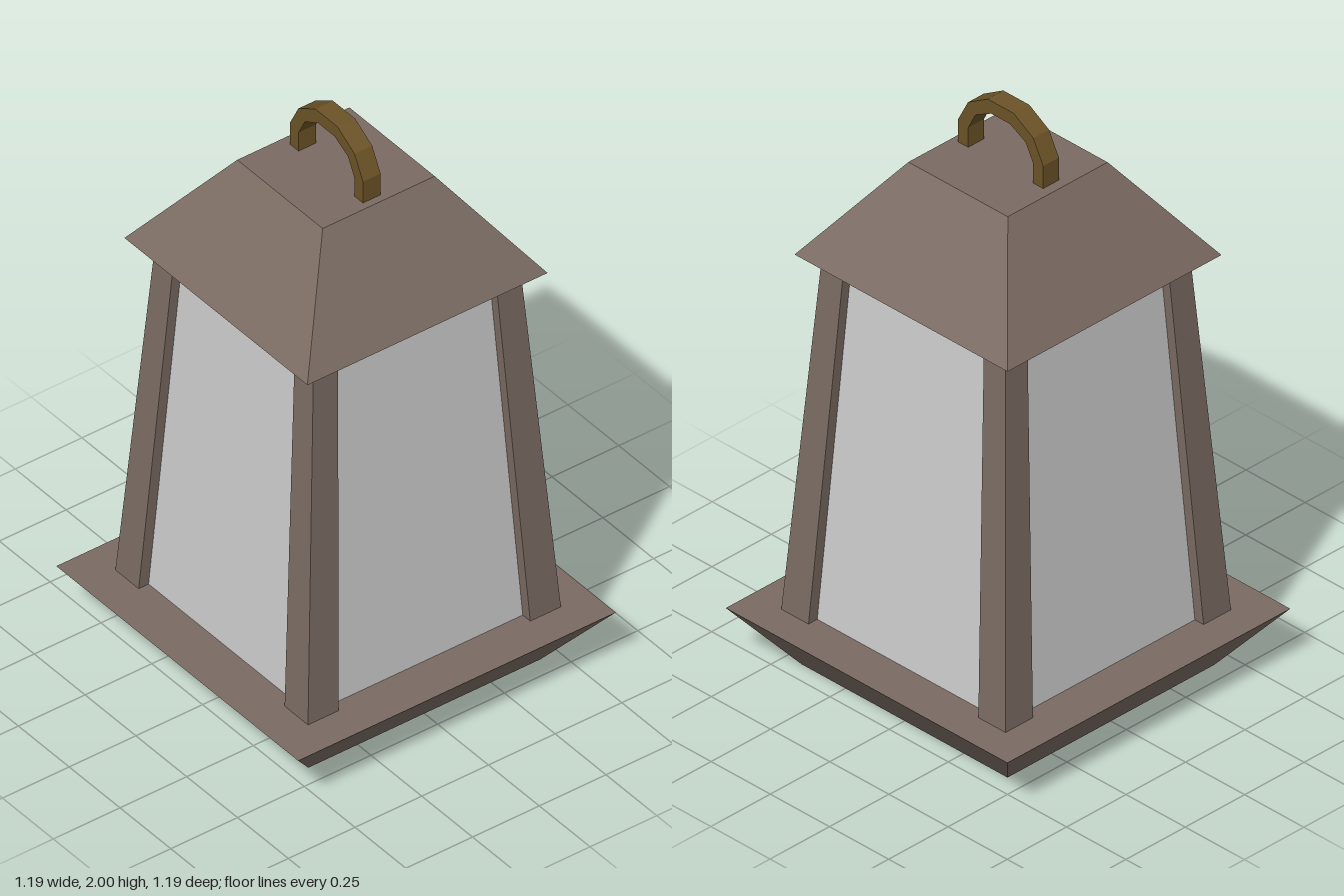
import * as THREE from 'three';

const wood = new THREE.MeshStandardMaterial({ color: 0x7a6b62, flatShading: true });
const brass = new THREE.MeshStandardMaterial({ color: 0x6c5327, flatShading: true });
const glass = new THREE.MeshStandardMaterial({ color: 0xcccccc, flatShading: true });

// Box whose bottom and top are rectangles [x0, x1, z0, z1] at heights y0 and y1
function taperedBox(name, material, y0, y1, bottom, top) {
  const geometry = new THREE.BoxGeometry(1, 1, 1);
  const p = geometry.attributes.position;
  for (let i = 0; i < p.count; i++) {
    const isTop = p.getY(i) > 0;
    const [x0, x1, z0, z1] = isTop ? top : bottom;
    p.setXYZ(i, p.getX(i) < 0 ? x0 : x1, isTop ? y1 : y0, p.getZ(i) < 0 ? z0 : z1);
  }
  geometry.computeVertexNormals();
  const mesh = new THREE.Mesh(geometry, material);
  mesh.name = name;
  return mesh;
}

const square = (h) => [-h, h, -h, h];

// Span between an inner and outer distance on one side of the centre, in rising order
const span = (side, inner, outer) => (side > 0 ? [inner, outer] : [-outer, -inner]);

export function createModel() {
  const group = new THREE.Group();
  group.name = 'lantern';

  // Flared base and sloping roof
  group.add(taperedBox('base', wood, 0, 0.2, square(0.435), square(0.595)));
  group.add(taperedBox('roof', wood, 1.46, 1.79, square(0.45), square(0.21)));

  // Tapered glass body, set slightly behind the posts
  const body = taperedBox('glassBody', glass, 0.2, 1.435, square(0.437), square(0.357));
  body.position.x = 0.008;
  group.add(body);

  // Four leaning corner posts
  const posts = new THREE.Group();
  posts.name = 'cornerPosts';
  posts.position.x = 0.008;
  for (const sx of [-1, 1]) {
    for (const sz of [-1, 1]) {
      posts.add(taperedBox('cornerPost', wood, 0.2, 1.46,
        [...span(sx, 0.359, 0.474), ...span(sz, 0.359, 0.474)],
        [...span(sx, 0.296, 0.388), ...span(sz, 0.296, 0.388)]));
    }
  }
  group.add(posts);

  // Faceted carrying handle: half of the outer and inner outline, mirrored
  const outer = [[0.18, 1.785], [0.18, 1.87], [0.138, 1.95], [0.055, 2]];
  const inner = [[0.137, 1.785], [0.137, 1.86], [0.106, 1.92], [0.04, 1.955]];
  const mirrored = (pts) => [...pts, ...pts.map(([z, y]) => [-z, y]).reverse()];
  const outline = [...mirrored(outer), ...mirrored(inner).reverse()];
  const shape = new THREE.Shape(outline.map(([z, y]) => new THREE.Vector2(z, y)));
  const handleGeometry = new THREE.ExtrudeGeometry(shape, { depth: 0.066, bevelEnabled: false });
  handleGeometry.translate(0, 0, -0.033);
  handleGeometry.rotateY(Math.PI / 2);
  const handle = new THREE.Mesh(handleGeometry, brass);
  handle.name = 'handle';
  handle.position.set(-0.006, 0, 0.004);
  group.add(handle);

  return group;
}
